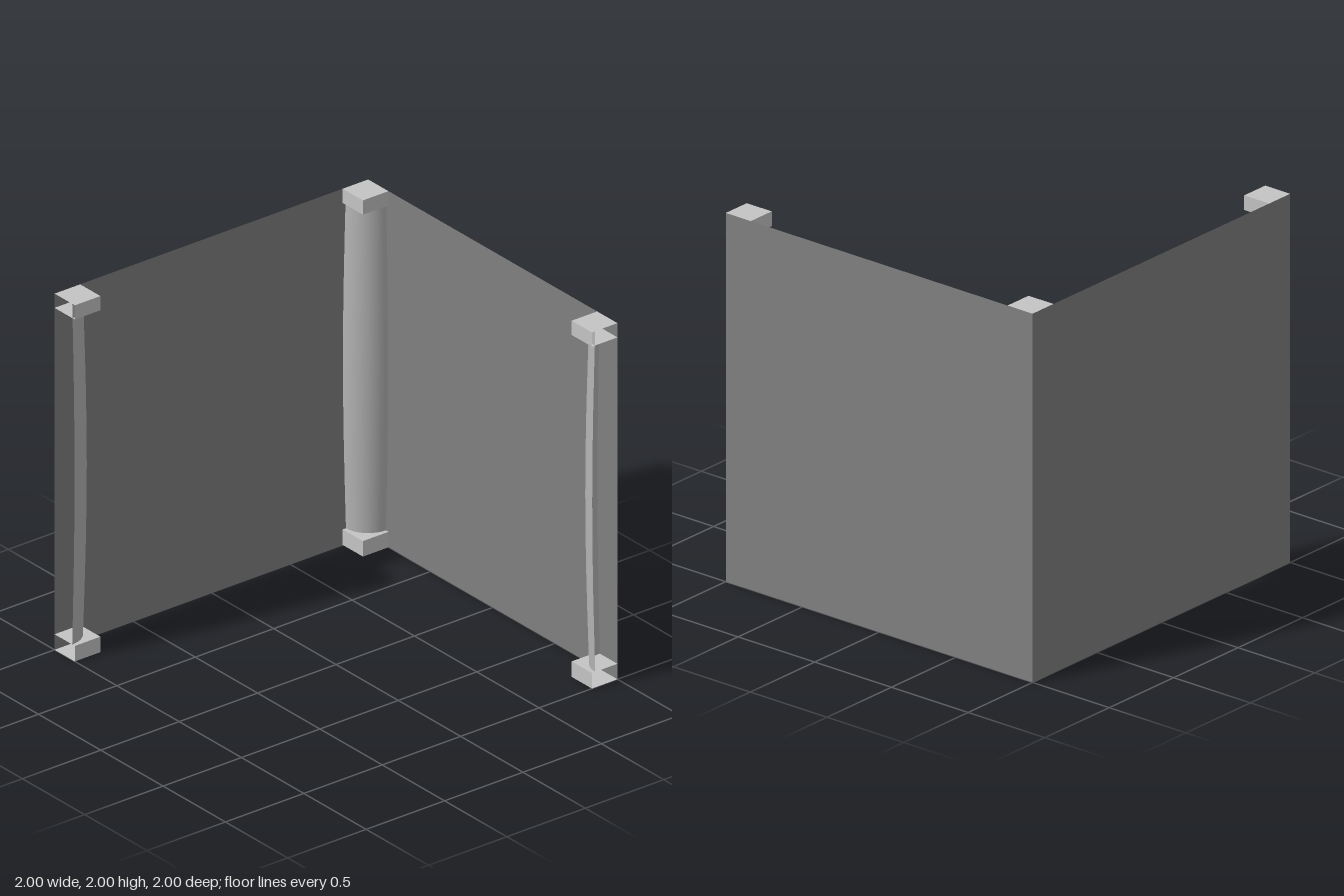
import * as THREE from 'three';

const material = (name, color) =>
  new THREE.MeshStandardMaterial({ name, color, side: THREE.DoubleSide });

const BLOCK = 0.163, BASE = 0.087, CAP = 0.08;

// Corner block, left open on the two sides that lie on the outer planes
function blockGeometry(height) {
  const g = new THREE.BoxGeometry(BLOCK, height, BLOCK);
  const index = Array.from(g.index.array);
  g.setIndex([...index.slice(0, 6), ...index.slice(12, 30)]);
  g.clearGroups();
  return g.translate(BLOCK / 2, height / 2, BLOCK / 2);
}

// Quarter column with a gentle swelling; it runs up inside the cap
function columnGeometry() {
  const points = [];
  for (let i = 0; i <= 8; i++) {
    const t = i / 8;
    const r = 0.142 + 0.019 * Math.sin(Math.PI * t);
    points.push(new THREE.Vector2(r, BASE + t * (2 - BASE)));
  }
  return new THREE.LatheGeometry(points, 12, 0, Math.PI / 2);
}

export function createModel() {
  const model = new THREE.Group();
  model.name = 'cornerWalls';
  const wallMat = material('wall grey', 0x808080);
  const columnMat = material('column grey', 0xb4b4b4);
  const blockMat = material('block grey', 0xc4c4c4);

  const add = (parent, name, geometry, mat) => {
    const mesh = new THREE.Mesh(geometry, mat);
    mesh.name = name;
    parent.add(mesh);
    return mesh;
  };

  // Two thin walls meeting at the back corner
  const wall = new THREE.PlaneGeometry(2, 2);
  const back = add(model, 'backWall', wall, wallMat);
  back.position.set(0, 1, -1);
  back.rotation.y = Math.PI;
  const side = add(model, 'sideWall', wall, wallMat);
  side.position.set(1, 1, 0);
  side.rotation.y = Math.PI / 2;

  // Quarter columns with base and cap at three corners
  const shaft = columnGeometry(), base = blockGeometry(BASE), cap = blockGeometry(CAP);
  const corners = [
    ['outerBackColumn', -1, -1, 0],
    ['cornerColumn', 1, -1, -Math.PI / 2],
    ['frontColumn', 1, 1, Math.PI],
  ];
  for (const [name, x, z, turn] of corners) {
    const post = new THREE.Group();
    post.name = name;
    post.position.set(x, 0, z);
    post.rotation.y = turn;
    add(post, 'shaft', shaft, columnMat);
    add(post, 'base', base, blockMat);
    add(post, 'cap', cap, blockMat).position.y = 2 - CAP;
    model.add(post);
  }
  return model;
}
